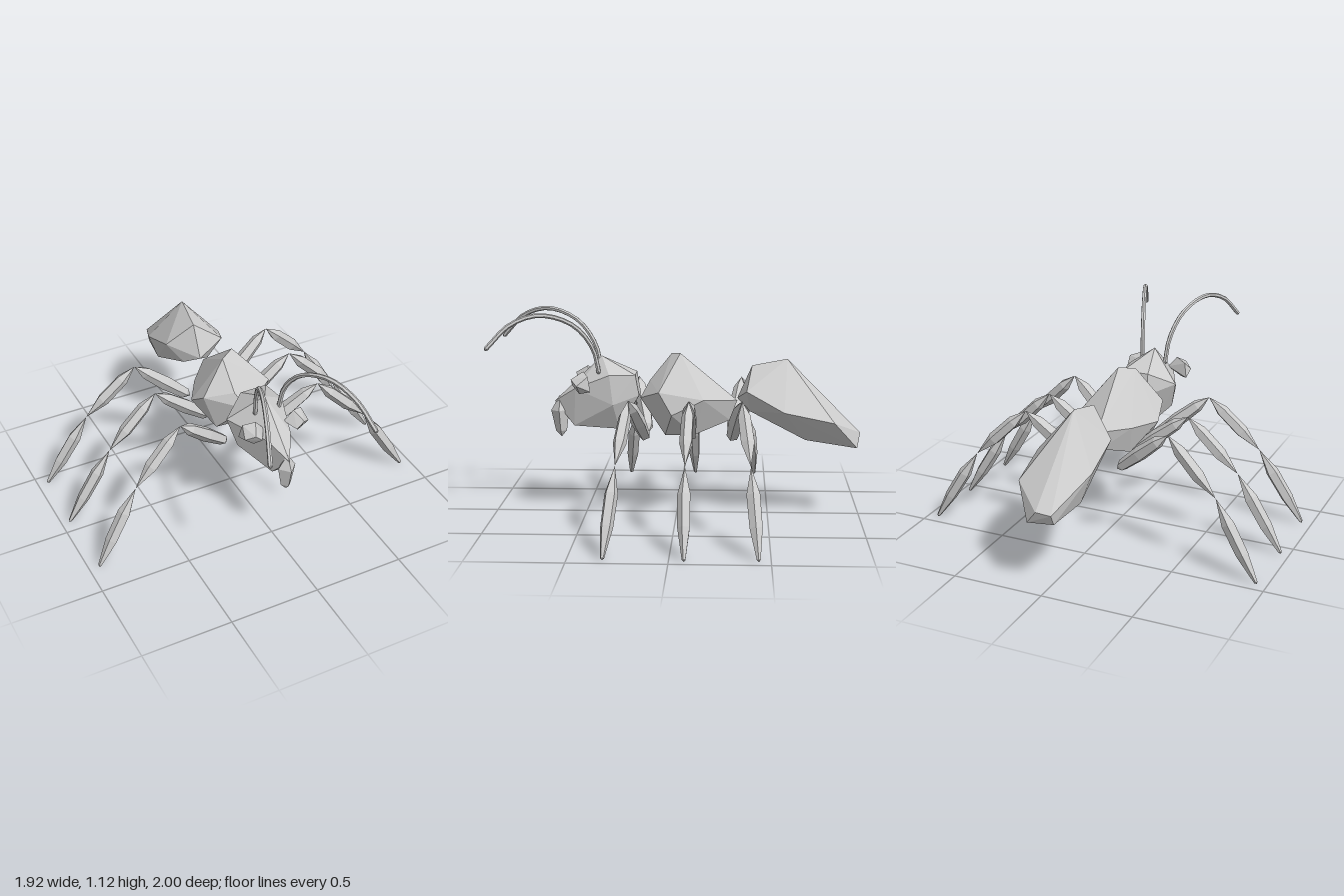
import * as THREE from 'three';
import { ConvexGeometry } from 'three/addons/geometries/ConvexGeometry.js';

const grey = new THREE.MeshStandardMaterial({ color: 0xcccccc, flatShading: true });
grey.name = 'ant grey';

const v = (p) => new THREE.Vector3(...p);

function add(group, name, geometry) {
  const mesh = new THREE.Mesh(geometry, grey);
  mesh.name = name;
  group.add(mesh);
  return mesh;
}

// Faceted body part: the hull of a few corner points
const hull = (group, name, points) => add(group, name, new ConvexGeometry(points.map(v)));

// Faceted spindle pointed at both ends; profile is [radius, position along the length]
function spindle(group, name, from, to, profile, sides) {
  const a = v(from), b = v(to), dir = b.clone().sub(a), len = dir.length();
  const pts = profile.map(([r, t]) => new THREE.Vector2(r, t * len));
  const mesh = add(group, name, new THREE.LatheGeometry(pts, sides));
  mesh.position.copy(a);
  mesh.quaternion.setFromUnitVectors(new THREE.Vector3(0, 1, 0), dir.normalize());
}

export function createModel() {
  const ant = new THREE.Group();
  ant.name = 'ant';

  hull(ant, 'abdomen', [
    [0, 0.86, -0.6], [-0.02, 0.82, -0.41], [-0.02, 0.64, -0.33], [0.14, 0.7, -0.38],
    [0.22, 0.6, -0.58], [0.19, 0.54, -0.85], [0.02, 0.46, -1], [-0.06, 0.45, -0.99],
    [-0.16, 0.59, -0.73], [-0.155, 0.68, -0.49], [0.08, 0.385, -0.98], [-0.06, 0.39, -0.96],
    [-0.1, 0.42, -0.74], [0.09, 0.43, -0.7], [0.06, 0.58, -0.4], [-0.08, 0.58, -0.42],
  ]);

  hull(ant, 'thorax', [
    [0.02, 0.89, -0.02], [-0.06, 0.88, 0.03], [0, 0.63, -0.33], [0, 0.52, -0.29],
    [0.19, 0.66, -0.15], [0.19, 0.7, 0.09], [0.21, 0.58, 0.02], [0, 0.64, 0.2],
    [-0.05, 0.73, 0.15], [-0.2, 0.7, 0.08], [-0.22, 0.62, -0.03], [-0.13, 0.62, -0.18],
    [0.12, 0.46, -0.1], [-0.1, 0.46, -0.13], [0.08, 0.45, 0.06], [-0.12, 0.47, 0.07],
  ]);

  hull(ant, 'head', [
    [-0.01, 0.87, 0.41], [-0.05, 0.78, 0.22], [0.1, 0.78, 0.22], [0.1, 0.67, 0.2],
    [-0.05, 0.66, 0.2], [-0.18, 0.71, 0.31], [0.12, 0.78, 0.36], [0.13, 0.62, 0.34],
    [-0.14, 0.56, 0.36], [0.07, 0.48, 0.31], [-0.07, 0.49, 0.32], [0.07, 0.7, 0.55],
    [-0.07, 0.7, 0.55], [0, 0.62, 0.67], [0.04, 0.49, 0.56], [-0.04, 0.49, 0.56],
  ]);

  // Jaw hanging in front of the head
  spindle(ant, 'jaw', [0, 0.42, 0.635], [0, 0.65, 0.645],
    [[0, 0], [0.03, 0.15], [0.05, 0.65], [0, 1]], 4);

  // Corners of each jointed leg from body to foot, for the +x side
  const legs = {
    front: [[0.1, 0.43, 0.16], [0.41, 0.695, 0.235], [0.695, 0.415, 0.28], [0.945, 0, 0.325]],
    middle: [[0.08, 0.43, -0.08], [0.41, 0.695, -0.08], [0.695, 0.415, -0.07], [0.955, 0, -0.075]],
    rear: [[0.1, 0.43, -0.3], [0.41, 0.695, -0.355], [0.695, 0.415, -0.4], [0.945, 0, -0.44]],
  };
  const profiles = [
    [[0, 0], [0.032, 0.1], [0.042, 0.45], [0.034, 0.8], [0, 1]],
    [[0, 0], [0.034, 0.25], [0.036, 0.65], [0, 1]],
    [[0, 0], [0.036, 0.3], [0.034, 0.65], [0.01, 0.98], [0, 1]],
  ];

  for (const s of [1, -1]) {
    const side = s > 0 ? 'Left' : 'Right';
    const mirror = ([x, y, z]) => [s * x, y, z];

    for (const [place, joints] of Object.entries(legs)) {
      const leg = new THREE.Group();
      leg.name = place + side + 'Leg';
      ['thigh', 'shin', 'foot'].forEach((name, i) =>
        spindle(leg, name, mirror(joints[i]), mirror(joints[i + 1]), profiles[i], 5));
      ant.add(leg);
    }

    // Bulging faceted eye
    hull(ant, 'eye' + side, [
      [0.06, 0.74, 0.49], [0.11, 0.8, 0.5], [0.17, 0.78, 0.47], [0.185, 0.7, 0.455],
      [0.185, 0.73, 0.53], [0.14, 0.76, 0.565], [0.1, 0.72, 0.56], [0.13, 0.68, 0.52],
    ].map(mirror));

    // Antenna arching up and forwards
    const arc = [[0.42, 0.79], [0.45, 0.92], [0.55, 1.05], [0.72, 1.11], [0.87, 1.065], [0.99, 0.945]];
    const path = new THREE.CatmullRomCurve3(
      arc.map(([z, y]) => new THREE.Vector3(s * (0.07 + (z - 0.42) * 0.39), y, z)));
    add(ant, 'antenna' + side, new THREE.TubeGeometry(path, 16, 0.0125, 6));
    // Closed ends of the antenna
    for (const t of [0, 1]) {
      const cap = add(ant, 'antennaTip' + side, new THREE.IcosahedronGeometry(0.0125, 0));
      cap.position.copy(path.getPoint(t));
    }
  }
  return ant;
}
